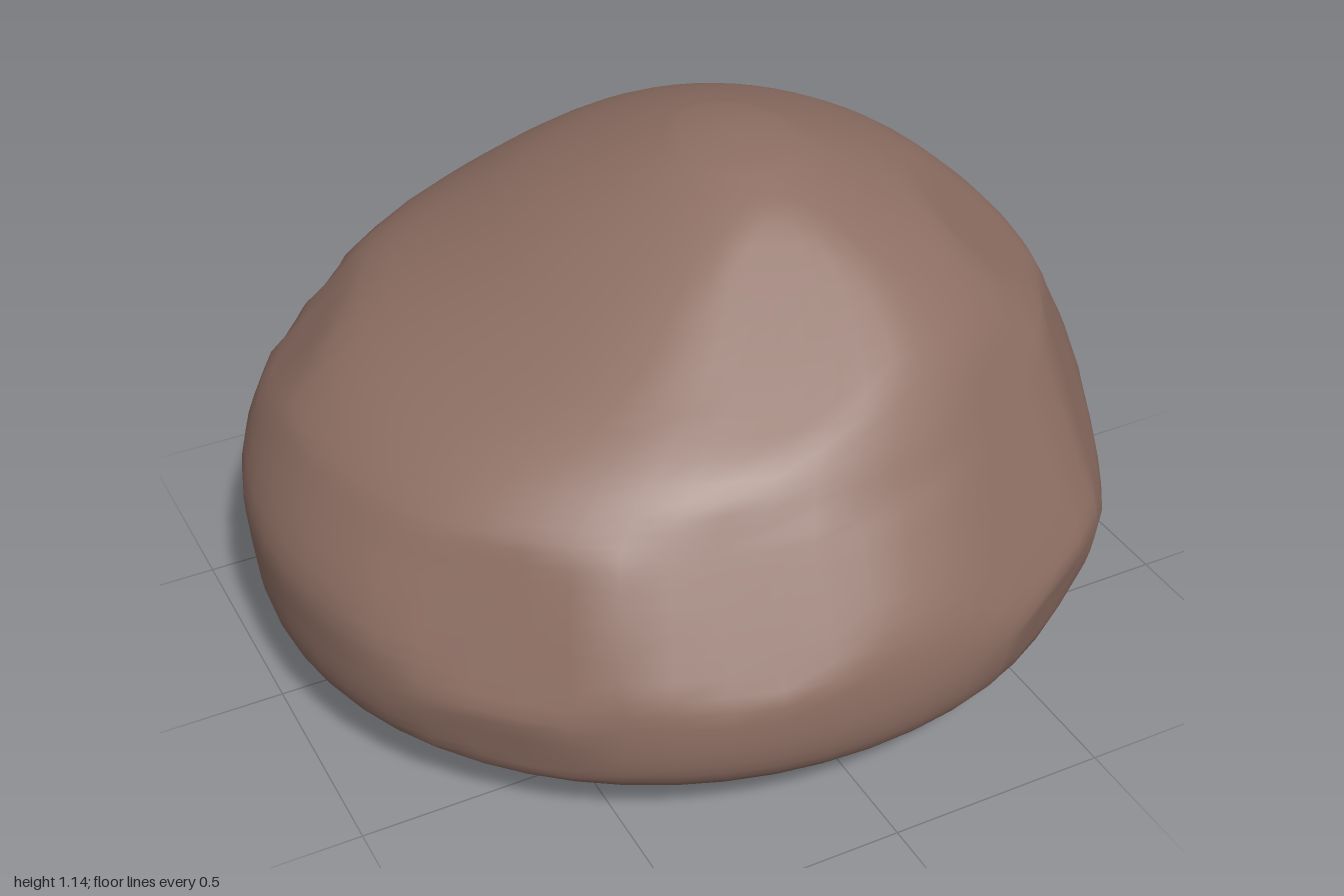
import * as THREE from 'three';

// Height profile: [y, -x extent, +x extent, +z extent, -z extent]
const PROFILE = [
  [0, -0.70, 0.72, 0.63, -0.65],
  [0.04, -0.81, 0.82, 0.76, -0.78],
  [0.12, -0.93, 0.92, 0.86, -0.86],
  [0.20, -0.985, 0.965, 0.92, -0.90],
  [0.32, -1.0, 1.0, 0.935, -0.93],
  [0.45, -0.995, 0.985, 0.91, -0.93],
  [0.60, -0.92, 0.925, 0.82, -0.90],
  [0.68, -0.86, 0.89, 0.76, -0.85],
  [0.77, -0.73, 0.835, 0.695, -0.79],
  [0.88, -0.48, 0.73, 0.59, -0.70],
  [0.98, -0.28, 0.60, 0.44, -0.56],
  [1.07, -0.09, 0.40, 0.25, -0.35],
  [1.12, 0.03, 0.27, 0.10, -0.18],
];

// Worn facets: [direction, cut depth]
const FACETS = [
  [[0.80, 0.35, 0.48], 0.045],
  [[0.45, 0.45, 0.78], 0.035],
  [[-0.25, 0.50, 0.83], 0.03],
  [[-0.65, 0.40, 0.65], 0.04],
  [[-0.62, 0.70, -0.35], 0.03],
  [[-0.50, 0.40, -0.77], 0.045],
  [[0.35, 0.60, -0.72], 0.03],
  [[0.75, 0.45, -0.48], 0.04],
  [[0.60, 0.75, 0.25], 0.025],
  [[-0.15, 0.85, 0.50], 0.025],
  [[0.50, -0.20, 0.84], 0.02],
  [[-0.70, -0.20, 0.68], 0.02],
];

export function createModel() {
  const group = new THREE.Group();
  const stone = new THREE.MeshStandardMaterial({ color: 0x8d6e63 });
  stone.name = 'brown stone';

  const SEG = 56, RINGS = 44;
  const sides = new THREE.CatmullRomCurve3(
    PROFILE.map(p => new THREE.Vector3(p[1], p[0], p[2])), false, 'catmullrom');
  const depths = new THREE.CatmullRomCurve3(
    PROFILE.map(p => new THREE.Vector3(p[3], p[0], p[4])), false, 'catmullrom');

  const points = [new THREE.Vector3(0, 0, 0)];
  const addRing = (t, scale) => {
    const s = sides.getPoint(t), d = depths.getPoint(t);
    for (let j = 0; j < SEG; j++) {
      const a = (j / SEG) * Math.PI * 2;
      points.push(new THREE.Vector3(
        (s.x + s.z) / 2 + scale * (s.z - s.x) / 2 * Math.cos(a),
        Math.max(0, s.y),
        (d.x + d.z) / 2 + scale * (d.x - d.z) / 2 * Math.sin(a)));
    }
  };

  // Flat underside ring, then the body from bottom to top
  addRing(0, 0.93);
  for (let i = 0; i <= RINGS; i++) addRing(i / RINGS, 1);
  points.push(new THREE.Vector3(0.15, 1.136, -0.04));

  // Gentle unevenness, fading out at the base and the summit
  for (const p of points) {
    const fade = Math.sin(Math.PI * Math.min(1, p.y / 1.136));
    const bump = 0.008 * fade * (Math.sin(7 * p.x + 4 * p.y) + Math.sin(8 * p.z - 5 * p.y + 1));
    p.x *= 1 + bump * (1 - Math.abs(p.x));
    p.z *= 1 + bump * (1 - Math.abs(p.z));
  }

  // Press each facet flat
  for (const [dir, depth] of FACETS) {
    const n = new THREE.Vector3(...dir).normalize();
    const limit = Math.max(...points.map(p => p.dot(n))) - depth;
    for (const p of points) {
      const over = p.dot(n) - limit;
      if (over > 0) p.addScaledVector(n, -over);
    }
  }

  // Join the rings
  const index = [];
  const at = (i, j) => 1 + i * SEG + (j % SEG);
  const top = points.length - 1;
  for (let j = 0; j < SEG; j++) {
    index.push(0, at(0, j), at(0, j + 1));
    for (let i = 0; i <= RINGS; i++) {
      index.push(at(i, j), at(i + 1, j), at(i, j + 1));
      index.push(at(i + 1, j), at(i + 1, j + 1), at(i, j + 1));
    }
    index.push(at(RINGS + 1, j), top, at(RINGS + 1, j + 1));
  }
  const geometry = new THREE.BufferGeometry().setFromPoints(points);
  geometry.setIndex(index);
  geometry.computeVertexNormals();

  const rock = new THREE.Mesh(geometry, stone);
  rock.name = 'boulder';
  group.add(rock);
  return group;
}
